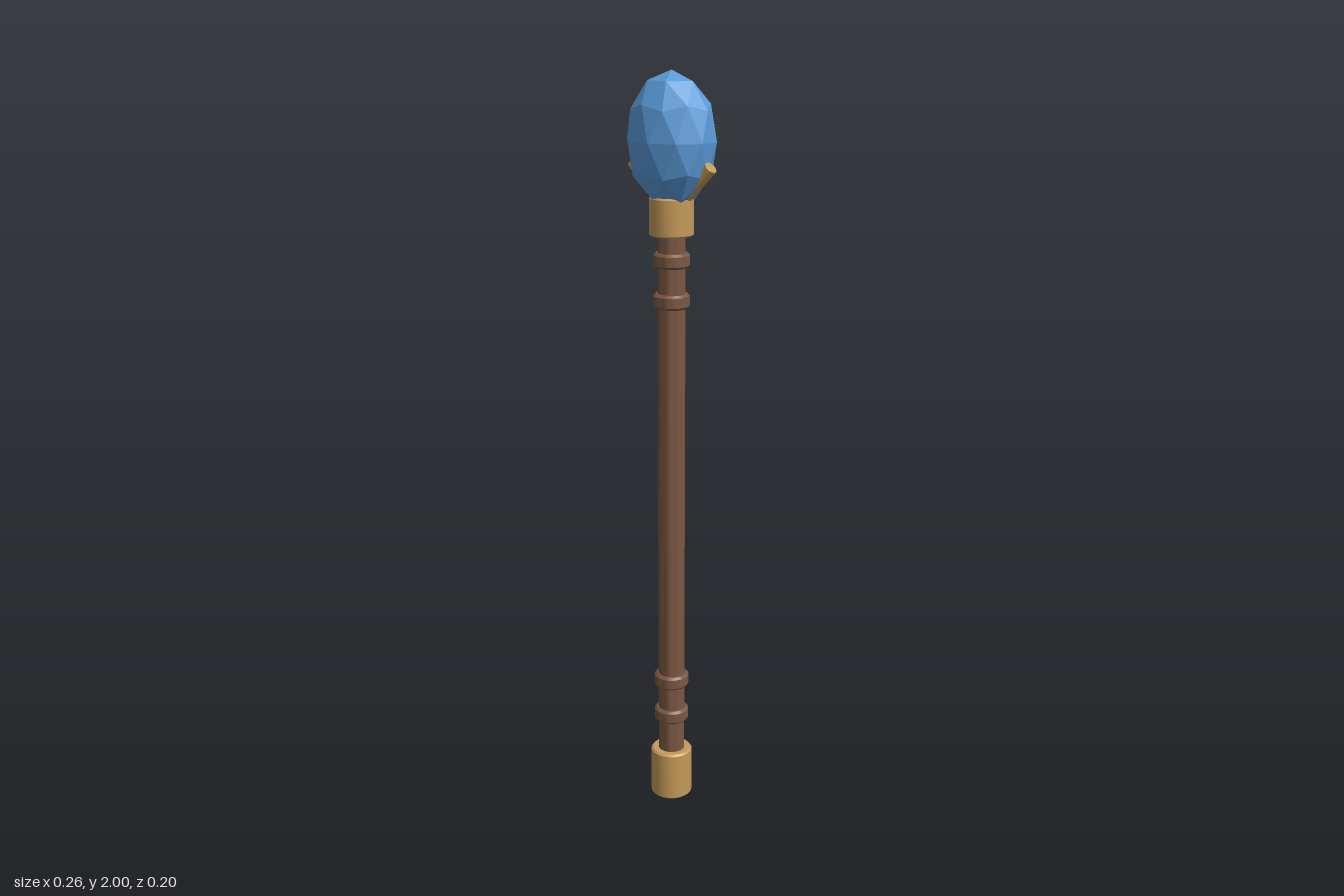
import * as THREE from 'three';
import { toCreasedNormals } from 'three/addons/utils/BufferGeometryUtils.js';

export function createModel() {
  const group = new THREE.Group();
  const wood = new THREE.MeshStandardMaterial({ color: 0x7a5742 });
  wood.name = 'brown wood';
  const gold = new THREE.MeshStandardMaterial({ color: 0xc49a58 });
  gold.name = 'gold';
  const blue = new THREE.MeshStandardMaterial({ color: 0x5a9bd8, flatShading: true });
  blue.name = 'blue crystal';

  const add = (name, geometry, material) => {
    const mesh = new THREE.Mesh(geometry, material);
    mesh.name = name;
    group.add(mesh);
    return mesh;
  };

  // Closed round solid with bevelled rims, standing from y0 to y1
  const drum = (radius, y0, y1, bevel) => {
    const profile = [
      [0, y0], [radius - bevel, y0], [radius, y0 + bevel],
      [radius, y1 - bevel], [radius - bevel, y1], [0, y1],
    ].map(([x, y]) => new THREE.Vector2(x, y));
    return toCreasedNormals(new THREE.LatheGeometry(profile, 32), 0.6);
  };

  // Shaft with pairs of raised rings near both ends
  add('shaft', drum(0.036, 0.02, 1.66, 0.002), wood);
  for (const y of [0.25, 0.355, 1.427, 1.532]) {
    add('shaftRing', drum(0.047, y - 0.019, y + 0.019, 0.006), wood);
  }

  // Metal foot and collar
  add('footCap', drum(0.057, 0, 0.14, 0.005), gold);
  add('collar', drum(0.057, 1.594, 1.692, 0.004), gold);

  // Faceted gem, with one corner pointing straight up
  const gemShape = new THREE.IcosahedronGeometry(1, 1);
  gemShape.rotateZ(-Math.atan(2 / (1 + Math.sqrt(5))));
  gemShape.scale(0.121, 0.17, 0.101);
  gemShape.computeVertexNormals();
  add('gem', gemShape, blue).position.y = 1.83;

  // Slanted prongs holding the gem on both sides
  for (const side of [-1, 1]) {
    const prong = add('prong', drum(0.017, 0, 0.12, 0.002), gold);
    prong.position.set(side * 0.035, 1.687, 0);
    prong.rotation.z = -side * Math.PI / 4;
  }
  return group;
}
